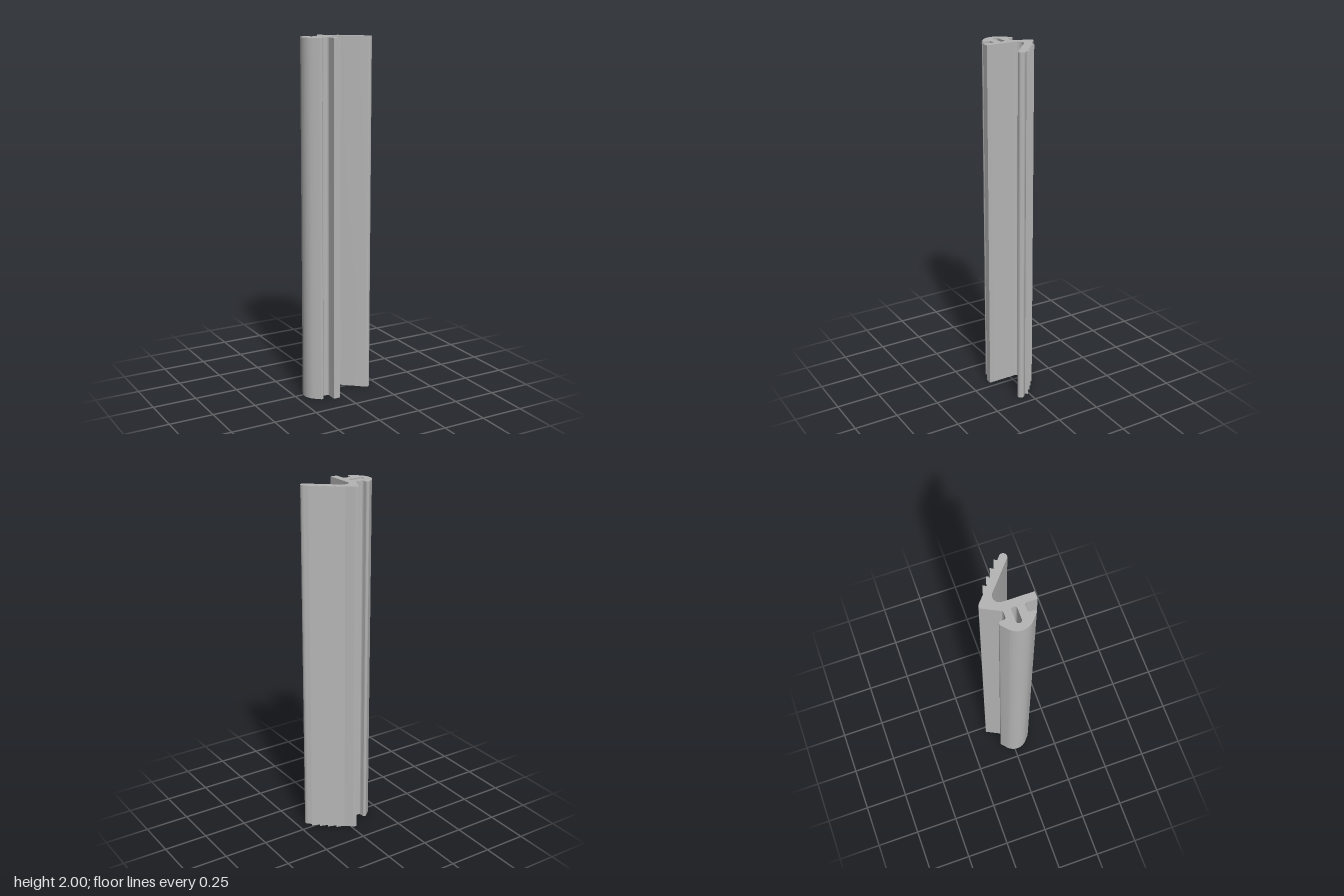
import * as THREE from 'three';
import { toCreasedNormals } from 'three/addons/utils/BufferGeometryUtils.js';

const HEIGHT = 2;
const MID = -0.016;   // mirror line of the anchor head (shape y is -z)
const LIP = 0.877;    // normal angle of the slanted lip
const HEAD = 2.27;    // normal angle of the head's slanted flanks
const Q = Math.PI / 2;

function sealProfile() {
  const s = new THREE.Shape();

  // Top of the web, rounding over into the lip
  s.moveTo(-0.075, 0.138);
  s.absarc(-0.03, 0.105, 0.033, Q, LIP, true);

  // Saw-tooth ribs along the outside of the lip
  s.lineTo(0.027, 0.098);
  for (let i = 0; i < 4; i++) {
    s.lineTo(0.075 + i * 0.036, 0.083 - i * 0.0303);
    s.lineTo(0.064 + i * 0.036, 0.068 - i * 0.0303);
  }

  // Rounded lip end, then the hollow between lip and web
  s.absarc(0.179, -0.055, 0.02, LIP, LIP - Math.PI, true);
  s.absarc(0, 0.026, 0.035, LIP, Math.PI, false);
  s.lineTo(-0.035, -0.135);
  s.lineTo(-0.075, -0.135);

  // Neck and barb on the front side
  s.absarc(-0.087, MID - 0.065, 0.012, 0, Q, false);
  s.absarc(-0.111, MID - 0.065, 0.012, Q, Math.PI, false);
  s.absarc(-0.134, MID - 0.081, 0.011, 0, -HEAD, true);

  // Rounded nose of the head
  s.absarc(-0.116, MID, 0.084, -HEAD, HEAD, true);

  // Barb and neck on the back side
  s.absarc(-0.134, MID + 0.081, 0.011, HEAD, 0, true);
  s.absarc(-0.111, MID + 0.065, 0.012, Math.PI, 3 * Q, false);
  s.absarc(-0.087, MID + 0.065, 0.012, -Q, 0, false);
  s.closePath();

  // Slot through the head
  const slot = new THREE.Path();
  slot.absarc(-0.1475, MID, 0.0145, Q, 3 * Q, false);
  slot.absarc(-0.0895, MID, 0.0145, -Q, Q, false);
  slot.closePath();
  s.holes.push(slot);
  return s;
}

export function createModel() {
  const group = new THREE.Group();
  group.name = 'sealStrip';

  const rubber = new THREE.MeshStandardMaterial({ color: 0xb4b4b4 });
  rubber.name = 'grey rubber';

  // Profile drawn flat, extruded and stood upright
  const extruded = new THREE.ExtrudeGeometry(sealProfile(), {
    depth: HEIGHT, bevelEnabled: false, curveSegments: 16,
  });
  extruded.rotateX(-Math.PI / 2);
  const geometry = toCreasedNormals(extruded, 0.36);
  geometry.clearGroups();

  const strip = new THREE.Mesh(geometry, rubber);
  strip.name = 'extrudedStrip';
  group.add(strip);
  return group;
}
